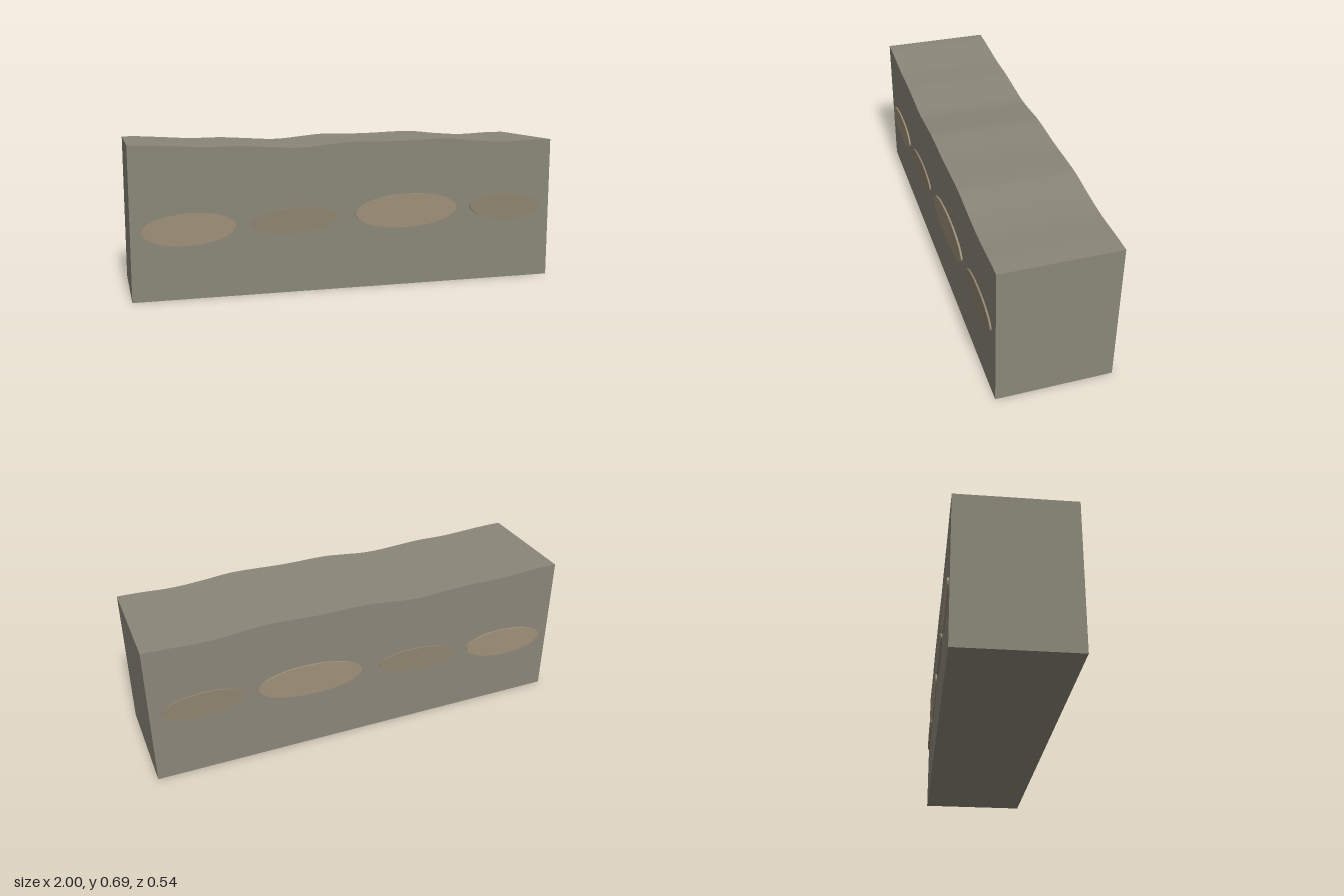
import * as THREE from 'three';

const HALF_DEPTH = 0.26;
const RELIEF = 0.008;

// Extrude a shape symmetrically about z = 0
function slab(name, shape, halfDepth, color, curveSegments) {
  const geometry = new THREE.ExtrudeGeometry(shape, { depth: halfDepth * 2, bevelEnabled: false, curveSegments });
  geometry.translate(0, 0, -halfDepth);
  const mesh = new THREE.Mesh(geometry, new THREE.MeshStandardMaterial({ color }));
  mesh.name = name;
  return mesh;
}

// Slightly tilted, narrow-ended oval from its end points and height limits
function stoneShape(x0, y0, x1, y1, bottom, top) {
  const inset = (x1 - x0) * 0.06;
  const mid = (y0 + y1) / 2;
  const up = (top - mid) / 0.75;
  const down = (mid - bottom) / 0.75;
  const shape = new THREE.Shape();
  shape.moveTo(x0, y0);
  shape.bezierCurveTo(x0 + inset, y0 - down, x1 - inset, y1 - down, x1, y1);
  shape.bezierCurveTo(x1 - inset, y1 + up, x0 + inset, y0 + up, x0, y0);
  return shape;
}

export function createModel() {
  const group = new THREE.Group();
  group.name = 'stoneWall';

  // Wall block with a gently wavy top
  const crest = [
    [1, 0.668], [0.9, 0.667], [0.75, 0.661], [0.6, 0.67], [0.45, 0.683], [0.2, 0.676], [0, 0.678],
    [-0.1, 0.67], [-0.25, 0.657], [-0.4, 0.664], [-0.53, 0.671], [-0.67, 0.67], [-0.8, 0.677], [-0.92, 0.684], [-1, 0.685],
  ].map(([x, y]) => new THREE.Vector2(x, y));
  const wall = new THREE.Shape();
  wall.moveTo(-1, 0);
  wall.lineTo(1, 0);
  wall.lineTo(1, crest[0].y);
  wall.splineThru(crest.slice(1));
  wall.lineTo(-1, 0);
  group.add(slab('wallBlock', wall, HALF_DEPTH, 0x8a8678, 4));

  // Oval stones set through the wall, standing proud on both faces
  const stones = [
    [-0.955, 0.308, -0.54, 0.322, 0.24, 0.382],
    [-0.472, 0.322, -0.075, 0.34, 0.273, 0.388],
    [0.01, 0.345, 0.513, 0.358, 0.273, 0.431],
    [0.58, 0.356, 0.947, 0.345, 0.288, 0.413],
  ];
  stones.forEach((s, i) => {
    group.add(slab(`stone${i + 1}`, stoneShape(...s), HALF_DEPTH + RELIEF, i % 2 ? 0x8f836e : 0x9e8f78, 24));
  });
  return group;
}
